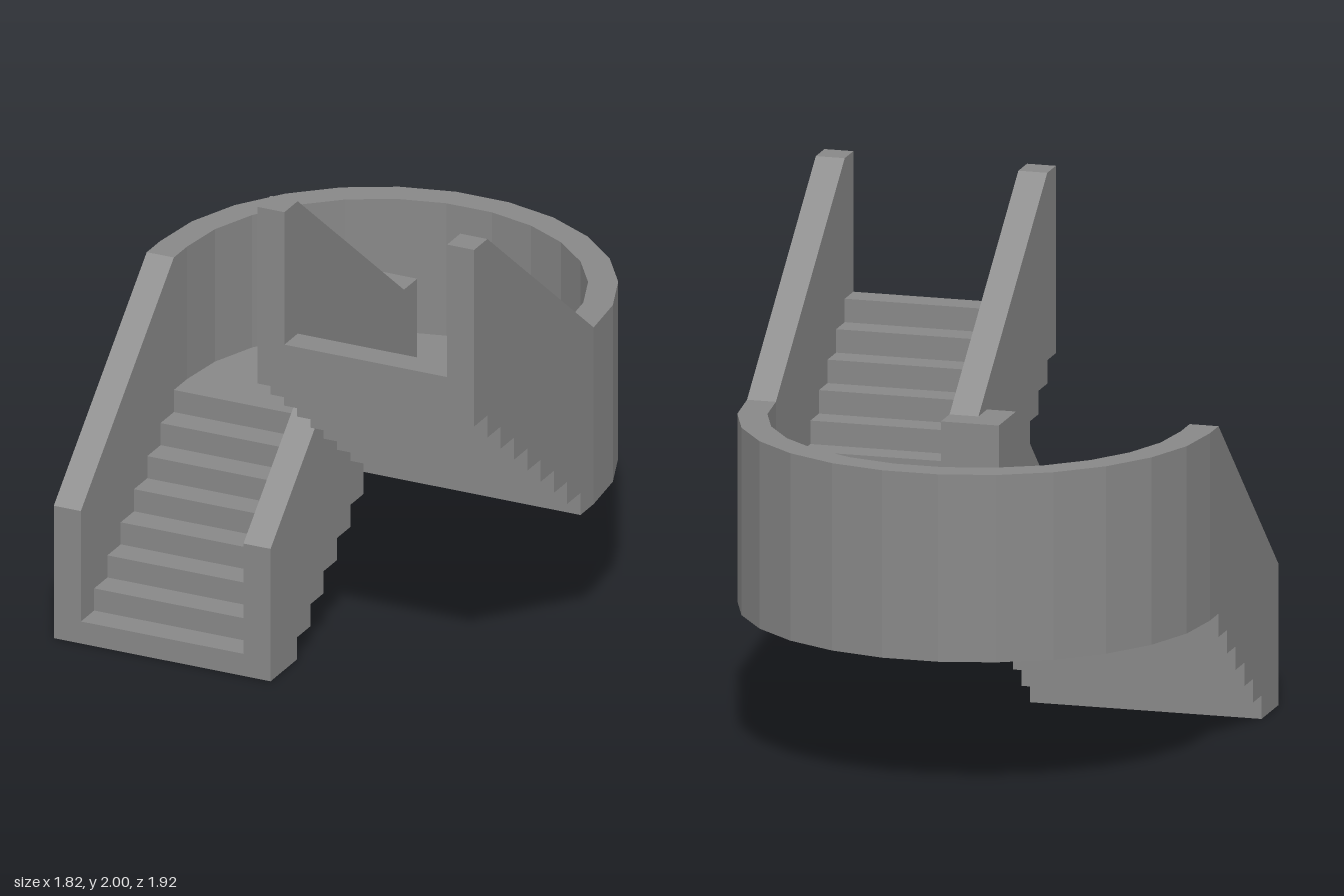
import * as THREE from 'three';

const RISE = 1 / 11, RUN = 0.1136;   // one step
const R = 0.909, T = 0.1136;         // landing radius, wall thickness
const C = -0.06;                     // z of the landing's arc centre
const EDGE = C + RUN;                // z where both flights meet the landing
const FRONT = C + 8 * RUN;           // z of the lower flight's foot
const SLAB = 6 * RISE, FLOOR = 8 * RISE, RAIL = 14 * RISE;
const SEGMENTS = 13;

const material = new THREE.MeshStandardMaterial({ color: 0x888888, flatShading: true });

function add(group, name, geometry) {
  const mesh = new THREE.Mesh(geometry, material);
  mesh.name = name;
  group.add(mesh);
}

const shapeOf = (points) => new THREE.Shape(points.map(([a, b]) => new THREE.Vector2(a, b)));

// Side profile of [z, y] points, extruded across x0..x1
function acrossX(points, x0, x1) {
  return new THREE.ExtrudeGeometry(shapeOf(points), { depth: x1 - x0, bevelEnabled: false })
    .rotateY(-Math.PI / 2).translate(x1, 0, 0);
}

// Plan outline of [x, -z] points, extruded up from y0 to y1
function upward(points, y0, y1) {
  return new THREE.ExtrudeGeometry(shapeOf(points), { depth: y1 - y0, bevelEnabled: false })
    .rotateX(-Math.PI / 2).translate(0, y0, 0);
}

// Half circle behind the arc centre, from +x round to -x
function arc(radius) {
  return Array.from({ length: SEGMENTS + 1 }, (_, i) => {
    const a = Math.PI * i / SEGMENTS;
    return [radius * Math.cos(a), -C + radius * Math.sin(a)];
  });
}

// Stepped line of [z, y] points: each step rises, then runs
function steps(z, y, run, count) {
  const points = [[z, y]];
  for (let i = 0; i < count; i++) {
    y += RISE;
    points.push([z, y]);
    z += run;
    points.push([z, y]);
  }
  return points;
}

export function createModel() {
  const model = new THREE.Group();
  model.name = 'staircase';
  const inner = R - T;

  // Lower flight, climbing towards the back
  const lower = new THREE.Group();
  lower.name = 'lowerFlight';
  const lowerUnder = [[FRONT, 0], ...steps(FRONT - 2 * RUN, 0, -RUN, 5)];
  add(lower, 'lowerSteps', acrossX(
    [...lowerUnder, [EDGE, FLOOR - RISE], ...steps(FRONT, 0, -RUN, 7).reverse().slice(1, -1)],
    -inner, -T));
  const lowerWall = [...lowerUnder, [EDGE, SLAB], [C, SLAB], [C, RAIL], [EDGE, RAIL], [FRONT, SLAB]];
  add(lower, 'lowerOuterWall', acrossX(lowerWall, -R, -inner));
  add(lower, 'lowerInnerWall', acrossX(lowerWall, -T, 0));
  model.add(lower);

  // Upper flight, climbing back towards the front
  const upper = new THREE.Group();
  upper.name = 'upperFlight';
  const upperUnder = steps(EDGE, SLAB, RUN, 8);
  const top = EDGE + 8 * RUN;
  add(upper, 'upperSteps', acrossX(
    [...upperUnder, ...steps(EDGE, FLOOR, RUN, 8).reverse()], T, inner));
  const upperWall = [[C, SLAB], ...upperUnder, [top, 2], [top - RUN, 2], [C, RAIL]];
  add(upper, 'upperOuterWall', acrossX(upperWall, inner, R));
  add(upper, 'upperInnerWall', acrossX(upperWall, 0, T));
  model.add(upper);

  // Half-round landing with its parapet and the central post
  const landing = new THREE.Group();
  landing.name = 'landing';
  add(landing, 'landingFloor', upward(
    [[inner, -EDGE], ...arc(inner), [-inner, -EDGE]], SLAB, FLOOR));
  add(landing, 'curvedParapet', upward([...arc(R), ...arc(inner).reverse()], SLAB, RAIL));
  add(landing, 'centralPost', new THREE.BoxGeometry(2 * T, RAIL - FLOOR, T)
    .translate(0, (RAIL + FLOOR) / 2, C - T / 2));
  model.add(landing);

  return model;
}
